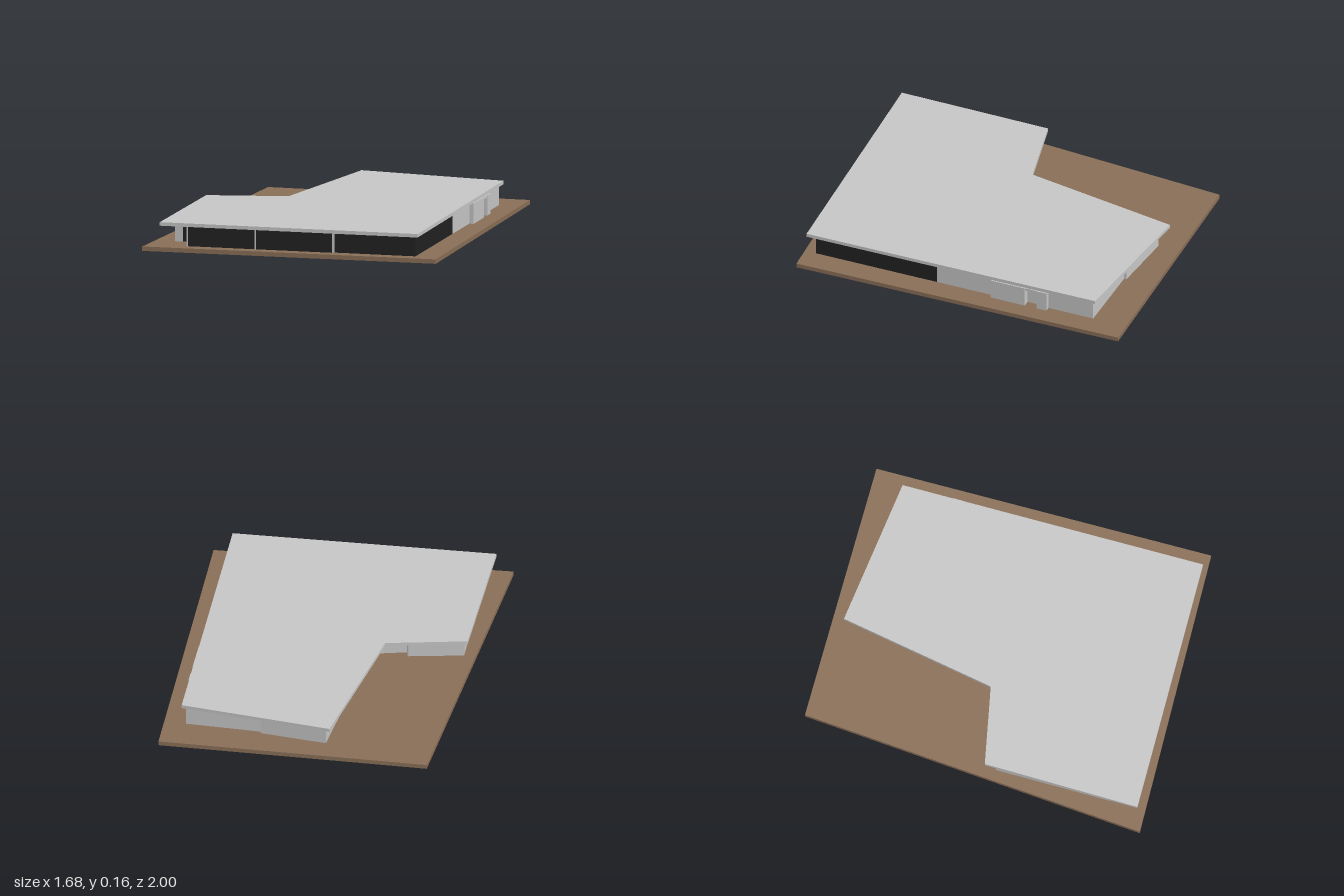
import * as THREE from 'three';

export function createModel() {
  const house = new THREE.Group();
  house.name = 'flatRoofHouse';

  const mat = (name, color) => {
    const m = new THREE.MeshStandardMaterial({ color });
    m.name = name;
    return m;
  };
  const concrete = mat('light grey', 0xc9c9c9);
  const glass = mat('dark glass', 0x222222);
  const earth = mat('brown earth', 0x8b7058);

  const FLOOR = 0.025, EAVES = 0.14, TOP = 0.16;

  // Flat plate with a polygonal plan given as [x, z] corners
  function slab(name, plan, y0, y1, material) {
    const shape = new THREE.Shape(plan.map(([x, z]) => new THREE.Vector2(x, -z)));
    const geo = new THREE.ExtrudeGeometry(shape, { depth: y1 - y0, bevelEnabled: false });
    geo.rotateX(-Math.PI / 2);
    const mesh = new THREE.Mesh(geo, material);
    mesh.name = name;
    mesh.position.y = y0;
    house.add(mesh);
  }

  function box(name, x, z, w, d, y0, y1, material, angle = 0) {
    const mesh = new THREE.Mesh(new THREE.BoxGeometry(w, y1 - y0, d), material);
    mesh.name = name;
    mesh.position.set(x, (y0 + y1) / 2, z);
    mesh.rotation.y = angle;
    house.add(mesh);
  }

  // Upright panel whose outer face runs from a to b
  function panel(name, a, b, material) {
    const t = 0.01;
    const dx = b[0] - a[0], dz = b[1] - a[1], len = Math.hypot(dx, dz);
    box(name, (a[0] + b[0]) / 2 + (dz / len) * t / 2, (a[1] + b[1]) / 2 - (dx / len) * t / 2,
      len, t, FLOOR, EAVES, material, Math.atan2(-dz, dx));
  }

  // Ground plot and roof
  slab('groundPlot', [[-0.69, -0.98], [0.82, -1], [0.84, 0.93], [-0.84, 1]], 0, FLOOR, earth);
  slab('roof', [[-0.13, -0.915], [0.72, -0.82], [0.73, 0.915], [-0.75, 0.96],
    [-0.74, 0.075], [-0.29, -0.02]], EAVES, TOP, concrete);

  // Outer walls, anticlockwise from the front; the flag marks glazing up to the next corner
  const outline = [
    [-0.71, 0.79], [-0.665, 0.79, 1], [-0.6, 0.79, 1], [-0.6, 0.92, 1], [-0.21, 0.907, 1],
    [0.235, 0.893], [0.235, 0.883, 1], [0.705, 0.87, 1], [0.705, 0.14],
    [0.705, -0.195], [0.73, -0.195], [0.73, -0.4], [0.69, -0.4], [0.69, -0.47],
    [0.73, -0.47], [0.73, -0.53], [0.7, -0.53], [0.7, -0.8], [0.275, -0.808],
    [0.275, -0.822], [-0.1, -0.86], [-0.2, 0.06], [-0.4, 0.11], [-0.4, 0.07], [-0.71, 0.13],
  ];
  outline.forEach((a, i) => {
    const b = outline[(i + 1) % outline.length];
    panel(a[2] ? 'window' : 'wall', a, b, a[2] ? glass : concrete);
  });

  // Slim posts between the front windows
  for (const [x, z] of [[-0.602, 0.912], [-0.212, 0.9], [0.235, 0.885]]) {
    box('windowPost', x, z, 0.009, 0.022, FLOOR, EAVES, concrete);
  }

  // Lintel over the side door recess
  box('doorLintel', 0.71, -0.435, 0.035, 0.07, 0.125, EAVES, concrete);

  return house;
}
